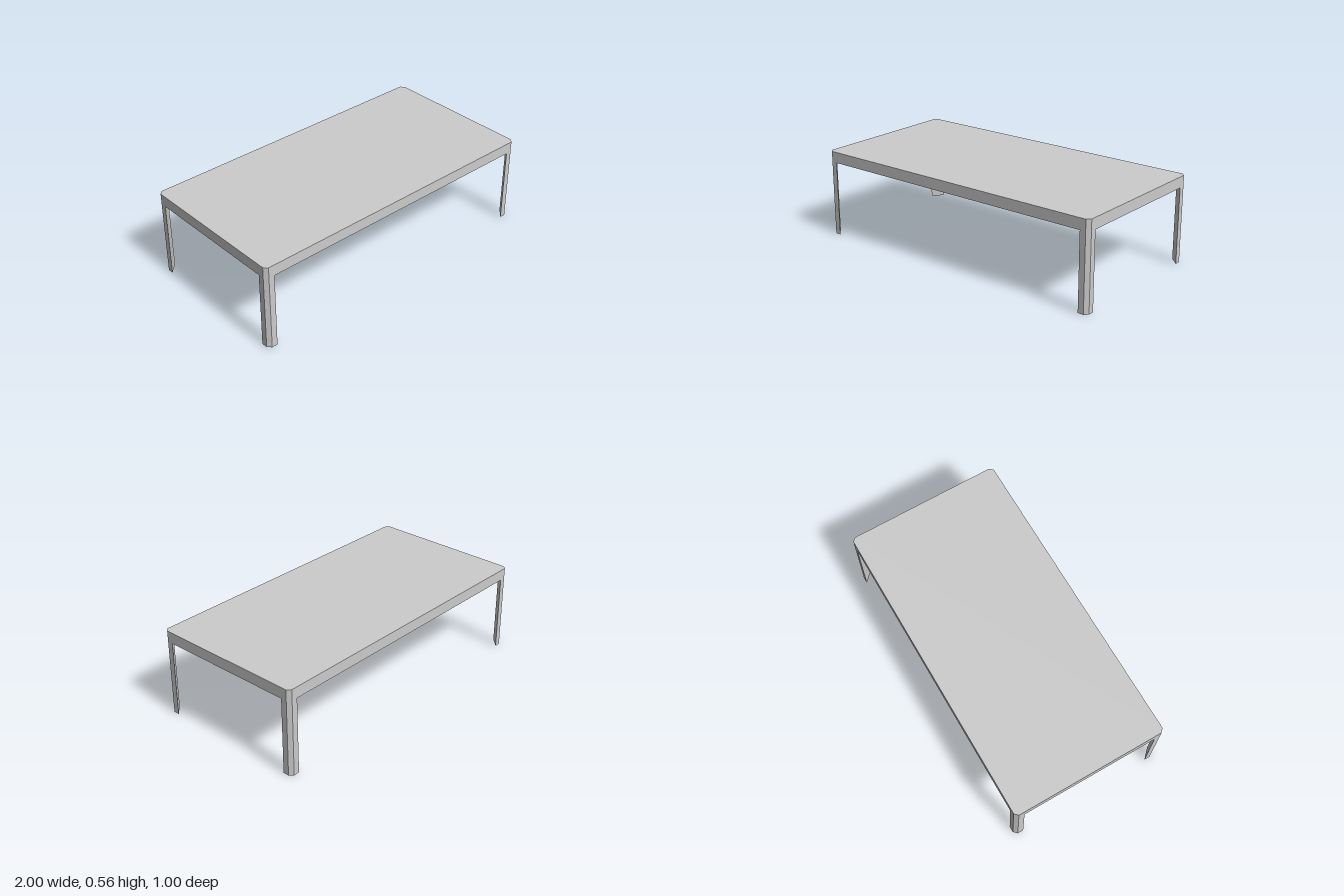
import * as THREE from 'three';

const X = 1, Z = 0.5, TOP = 0.555;  // half length, half depth, height
const CUT = 0.022;                  // outer corner chamfer
const LEG = 0.06;                   // leg reach along each side
const RAIL = 0.485;                 // lower edge of the apron
const INSET = 0.047, UNDER = 0.545; // edge of the recessed underside

const v = (x, y, z) => new THREE.Vector3(x, y, z);

// Adds a convex flat face, wound so that it faces along dir
function face(out, pts, dir) {
  const n = pts[1].clone().sub(pts[0]).cross(pts[2].clone().sub(pts[0]));
  const p = n.dot(dir) < 0 ? [...pts].reverse() : pts;
  for (let i = 1; i < p.length - 1; i++) out.push(p[0], p[i], p[i + 1]);
}

function makeMesh(name, points, material) {
  const geometry = new THREE.BufferGeometry().setFromPoints(points);
  geometry.computeVertexNormals();
  const mesh = new THREE.Mesh(geometry, material);
  mesh.name = name;
  return mesh;
}

// Upright wall over a plan line [x, z] -> [x, z]
const wall = (out, a, b, y0, y1, dir) => face(out, [
  v(a[0], y0, a[1]), v(b[0], y0, b[1]), v(b[0], y1, b[1]), v(a[0], y1, a[1])], dir);

export function createModel() {
  const group = new THREE.Group();
  group.name = 'lowTable';
  const material = new THREE.MeshStandardMaterial({ color: 0xcccccc, flatShading: true });
  const up = v(0, 1, 0), down = v(0, -1, 0);
  const corners = [[1, 1], [-1, 1], [-1, -1], [1, -1]];

  // Tabletop: chamfered slab above, flat recess below
  const top = [], outline = [];
  corners.forEach(([sx, sz], i) => {
    const pair = [v(sx * X, TOP, sz * (Z - CUT)), v(sx * (X - CUT), TOP, sz * Z)];
    outline.push(...(i % 2 ? pair.reverse() : pair));
  });
  face(top, outline, up);
  face(top, corners.map(([sx, sz]) => v(sx * (X - INSET), UNDER, sz * (Z - INSET))), down);
  group.add(makeMesh('tabletop', top, material));

  // Apron: upright outside, sloping inside up to the recess
  const apron = [];
  const ix = X - INSET, iz = Z - INSET;
  for (const s of [1, -1]) {
    wall(apron, [-(X - CUT), s * Z], [X - CUT, s * Z], RAIL, TOP, v(0, 0, s));
    wall(apron, [s * X, -(Z - CUT)], [s * X, Z - CUT], RAIL, TOP, v(s, 0, 0));
    face(apron, [v(-(X - LEG), RAIL, s * Z), v(X - LEG, RAIL, s * Z),
      v(ix, UNDER, s * iz), v(-ix, UNDER, s * iz)], v(0, -1, -s));
    face(apron, [v(s * X, RAIL, -(Z - LEG)), v(s * X, RAIL, Z - LEG),
      v(s * ix, UNDER, iz), v(s * ix, UNDER, -iz)], v(-s, -1, 0));
  }
  // Chamfered corners and their inner triangular braces
  for (const [sx, sz] of corners) {
    wall(apron, [sx * X, sz * (Z - CUT)], [sx * (X - CUT), sz * Z], RAIL, TOP, v(sx, 0, sz));
    face(apron, [v(sx * (X - LEG), RAIL, sz * Z), v(sx * X, RAIL, sz * (Z - LEG)),
      v(sx * ix, UNDER, sz * iz)], v(-sx, -1, -sz));
  }
  group.add(makeMesh('apron', apron, material));

  // Legs: angled corner posts with a diagonal inner face
  for (const [sx, sz] of corners) {
    const leg = [];
    const plan = [[X - LEG, Z], [X - CUT, Z], [X, Z - CUT], [X, Z - LEG]]
      .map(([x, z]) => [sx * x, sz * z]);
    const dirs = [v(0, 0, sz), v(sx, 0, sz), v(sx, 0, 0), v(-sx, 0, -sz)];
    dirs.forEach((d, i) => wall(leg, plan[i], plan[(i + 1) % 4], 0, RAIL, d));
    face(leg, plan.map(([x, z]) => v(x, 0, z)), down);
    group.add(makeMesh(`${sz > 0 ? 'front' : 'back'}${sx > 0 ? 'Left' : 'Right'}Leg`, leg, material));
  }
  return group;
}
